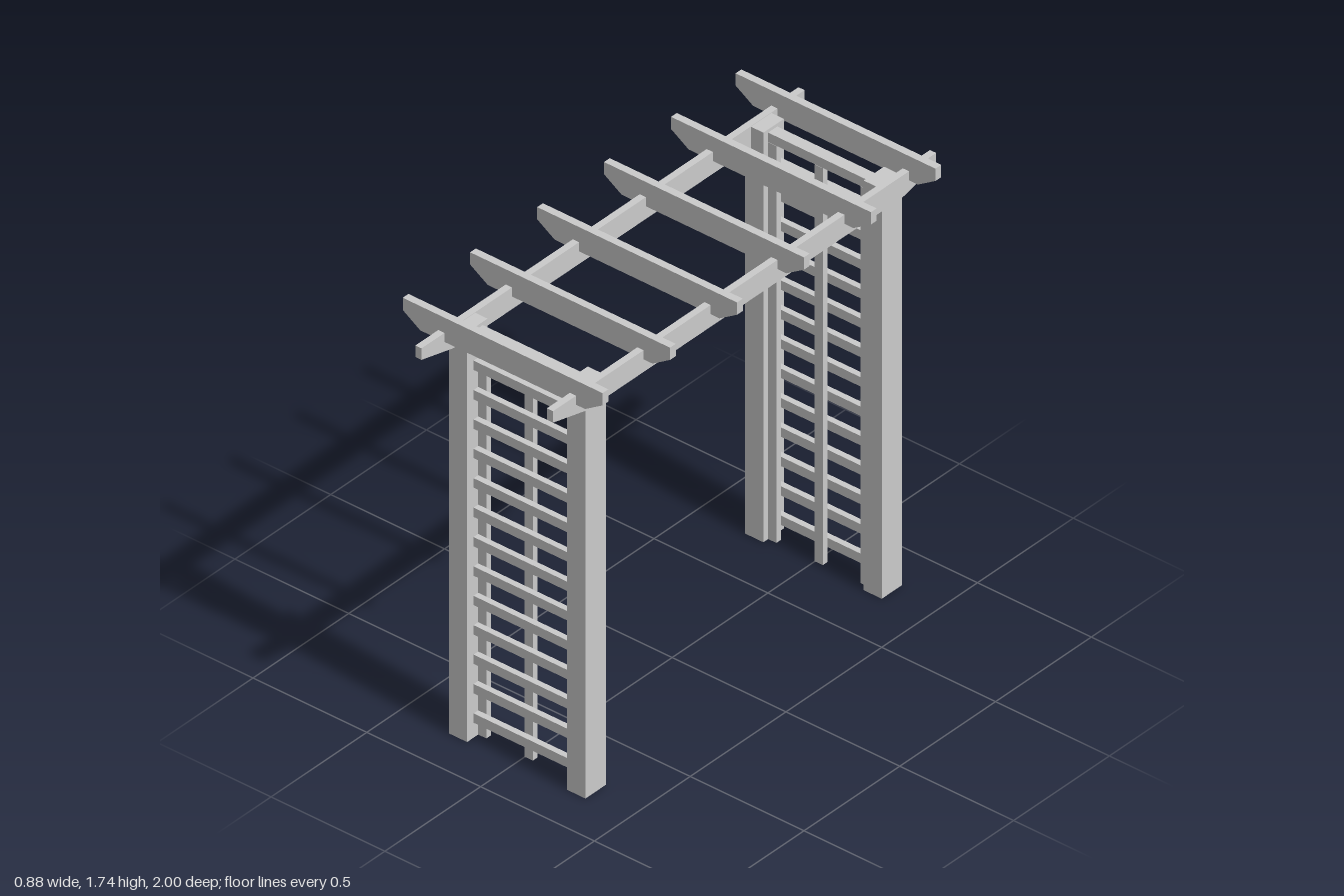
import * as THREE from 'three';

const material = new THREE.MeshStandardMaterial({ color: 0xcccccc, flatShading: true });

// Box given by its limits on each axis
function box(name, [x0, x1], [y0, y1], [z0, z1]) {
  const geo = new THREE.BoxGeometry(x1 - x0, y1 - y0, Math.abs(z1 - z0));
  geo.translate((x0 + x1) / 2, (y0 + y1) / 2, (z0 + z1) / 2);
  const mesh = new THREE.Mesh(geo, material);
  mesh.name = name;
  return mesh;
}

// Board with the lower corners of both ends cut off at a slant
function taperedBoard(name, half, bottom, top, endBottom, flatHalf, thickness) {
  const shape = new THREE.Shape([
    [-flatHalf, bottom], [flatHalf, bottom], [half, endBottom],
    [half, top], [-half, top], [-half, endBottom],
  ].map(([x, y]) => new THREE.Vector2(x, y)));
  const geo = new THREE.ExtrudeGeometry(shape, { depth: thickness, bevelEnabled: false });
  geo.translate(0, 0, -thickness / 2);
  const mesh = new THREE.Mesh(geo, material);
  mesh.name = name;
  return mesh;
}

// One end of the arch: two posts with a ladder-like trellis between them
function createEnd(side) {
  const end = new THREE.Group();
  end.name = side > 0 ? 'frontEnd' : 'backEnd';
  const z = (a, b) => [side * a, side * b];

  // Posts, notched at the top on the outer side to carry the beams
  end.add(box('rightPost', [-0.285, -0.205], [0, 1.585], z(0.72, 0.827)));
  end.add(box('rightPostTop', [-0.26, -0.205], [1.585, 1.672], z(0.72, 0.827)));
  end.add(box('leftPost', [0.235, 0.315], [0, 1.585], z(0.72, 0.827)));
  end.add(box('leftPostTop', [0.235, 0.292], [1.585, 1.672], z(0.72, 0.827)));

  // Upright slats on the inner side
  for (const x of [-0.205, -0.001, 0.2]) {
    end.add(box('trellisSlat', [x, x + 0.036], [0, 1.62], z(0.745, 0.769)));
  }
  // Rungs on the outer side, the top one as deep as the whole trellis
  for (let i = 0; i < 14; i++) {
    const y = 0.08 + i * 0.12;
    const inner = i === 13 ? 0.745 : 0.769;
    end.add(box('trellisRung', [-0.205, 0.236], [y - 0.019, y + 0.019], z(inner, 0.793)));
  }
  return end;
}

export function createModel() {
  const model = new THREE.Group();
  model.name = 'gardenArch';
  model.add(createEnd(1), createEnd(-1));

  // Long beams joining the two ends
  for (const [name, x] of [['rightBeam', -0.273], ['leftBeam', 0.305]]) {
    const beam = taperedBoard(name, 1, 1.585, 1.674, 1.627, 0.825, 0.027);
    beam.rotation.y = Math.PI / 2;
    beam.position.x = x;
    model.add(beam);
  }

  // Rafters lapped over the beams
  for (const z of [0.865, 0.513, 0.163, -0.186, -0.536, -0.873]) {
    const rafter = taperedBoard('rafter', 0.439, 1.637, 1.736, 1.686, 0.362, 0.03);
    rafter.position.set(-0.004, 0, z);
    model.add(rafter);
  }
  return model;
}
